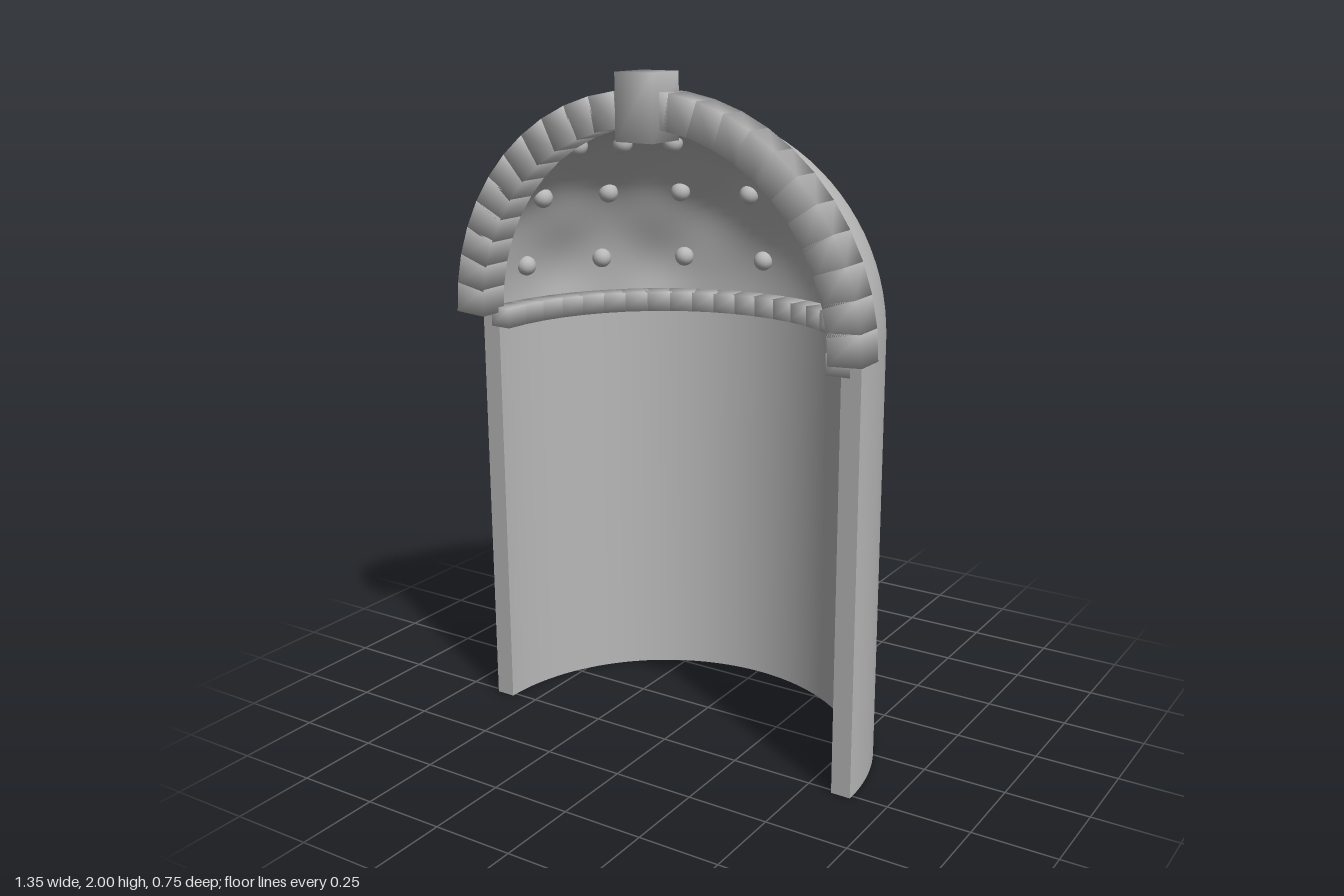
import * as THREE from 'three';
import { mergeVertices } from 'three/addons/utils/BufferGeometryUtils.js';

const CZ = 0.265;       // plane of the opening
const SPRING = 1.275;   // height where the dome starts
const R_OUT = 0.64, R_IN = 0.58, R_DOME = 0.605;

// Box with shared corners, so it shades softly like worn stone
function softBox(w, h, d) {
  const g = new THREE.BoxGeometry(w, h, d);
  g.deleteAttribute('normal');
  g.deleteAttribute('uv');
  const m = mergeVertices(g);
  m.computeVertexNormals();
  return m;
}

export function createModel() {
  const model = new THREE.Group();
  const stone = new THREE.MeshStandardMaterial({ color: 0xb8b8b8, side: THREE.DoubleSide });
  stone.name = 'stone';

  function add(name, geometry, parent = model, x = 0, y = 0, z = 0) {
    const mesh = new THREE.Mesh(geometry, stone);
    mesh.name = name;
    mesh.position.set(x, y, z);
    parent.add(mesh);
    return mesh;
  }

  // Half-round wall: outer and inner skins, end faces and edges
  const wall = new THREE.Group();
  wall.name = 'wall';
  model.add(wall);
  for (const [name, r] of [['wallOuter', R_OUT], ['wallInner', R_IN]]) {
    add(name, new THREE.CylinderGeometry(r, r, SPRING, 64, 1, true, Math.PI / 2, Math.PI), wall, 0, SPRING / 2, CZ);
  }
  for (const [name, y, turn] of [['wallBottom', 0, 1], ['wallTop', SPRING, -1]]) {
    const ring = new THREE.RingGeometry(R_IN, R_OUT, 64, 1, turn > 0 ? Math.PI : 0, Math.PI);
    ring.rotateX(turn * Math.PI / 2);
    add(name, ring, wall, 0, y, CZ);
  }
  for (const s of [-1, 1]) {
    add('jambFace', new THREE.PlaneGeometry(R_OUT - R_IN, SPRING), wall, s * (R_OUT + R_IN) / 2, SPRING / 2, CZ);
  }

  // Quarter-sphere dome with a gently uneven inside
  add('domeOuter', new THREE.SphereGeometry(R_OUT, 64, 24, Math.PI, Math.PI, 0, Math.PI / 2), model, 0, SPRING, CZ);
  const inner = new THREE.SphereGeometry(R_DOME, 64, 32, Math.PI, Math.PI, 0, Math.PI / 2);
  const p = inner.attributes.position;
  const v = new THREE.Vector3();
  for (let i = 0; i < p.count; i++) {
    v.fromBufferAttribute(p, i);
    const wave = Math.sin(v.x * 17 + 1) * Math.sin(v.y * 18) * Math.cos(v.z * 13);
    v.multiplyScalar(1 + 0.014 * wave);
    p.setXYZ(i, v.x, v.y, v.z);
  }
  inner.computeVertexNormals();
  add('domeInner', inner, model, 0, SPRING, CZ);
  add('domeRim', new THREE.RingGeometry(R_DOME - 0.01, R_OUT, 64, 1, 0, Math.PI), model, 0, SPRING, CZ);

  // Arch stones around the opening and cornice blocks along the inner wall
  const arch = new THREE.Group();
  arch.name = 'arch';
  const cornice = new THREE.Group();
  cornice.name = 'cornice';
  model.add(arch, cornice);
  const archStone = softBox(0.1, 0.088, 0.095);
  const corniceStone = softBox(0.07, 0.06, 0.085);
  const count = 24;
  for (let i = 0; i < count; i++) {
    const a = (i + 0.5) / count * Math.PI;
    const c = Math.cos(a), s = Math.sin(a);
    add('archStone', archStone, arch, 0.626 * c, SPRING + 0.626 * s, 0.2925).rotation.z = a;
    add('corniceBlock', corniceStone, cornice, 0.57 * c, 1.255, CZ - 0.57 * s).rotation.y = a;
  }

  // Keystone
  add('keystone', softBox(0.12, 0.185, 0.13), model, 0, 1.9075, 0.31);

  // Rows of round studs inside the dome
  const studs = new THREE.Group();
  studs.name = 'studs';
  model.add(studs);
  const stud = new THREE.SphereGeometry(0.03, 16, 12);
  for (let row = 0; row < 3; row++) {
    const e = (row + 0.5) * Math.PI / 8;
    for (let i = 0; i < 7; i++) {
      const a = (i + 0.5) / 7 * Math.PI;
      const r = 0.6 * Math.cos(e);
      add('stud', stud, studs, r * Math.cos(a), SPRING + 0.6 * Math.sin(e), CZ - r * Math.sin(a));
    }
  }
  return model;
}
